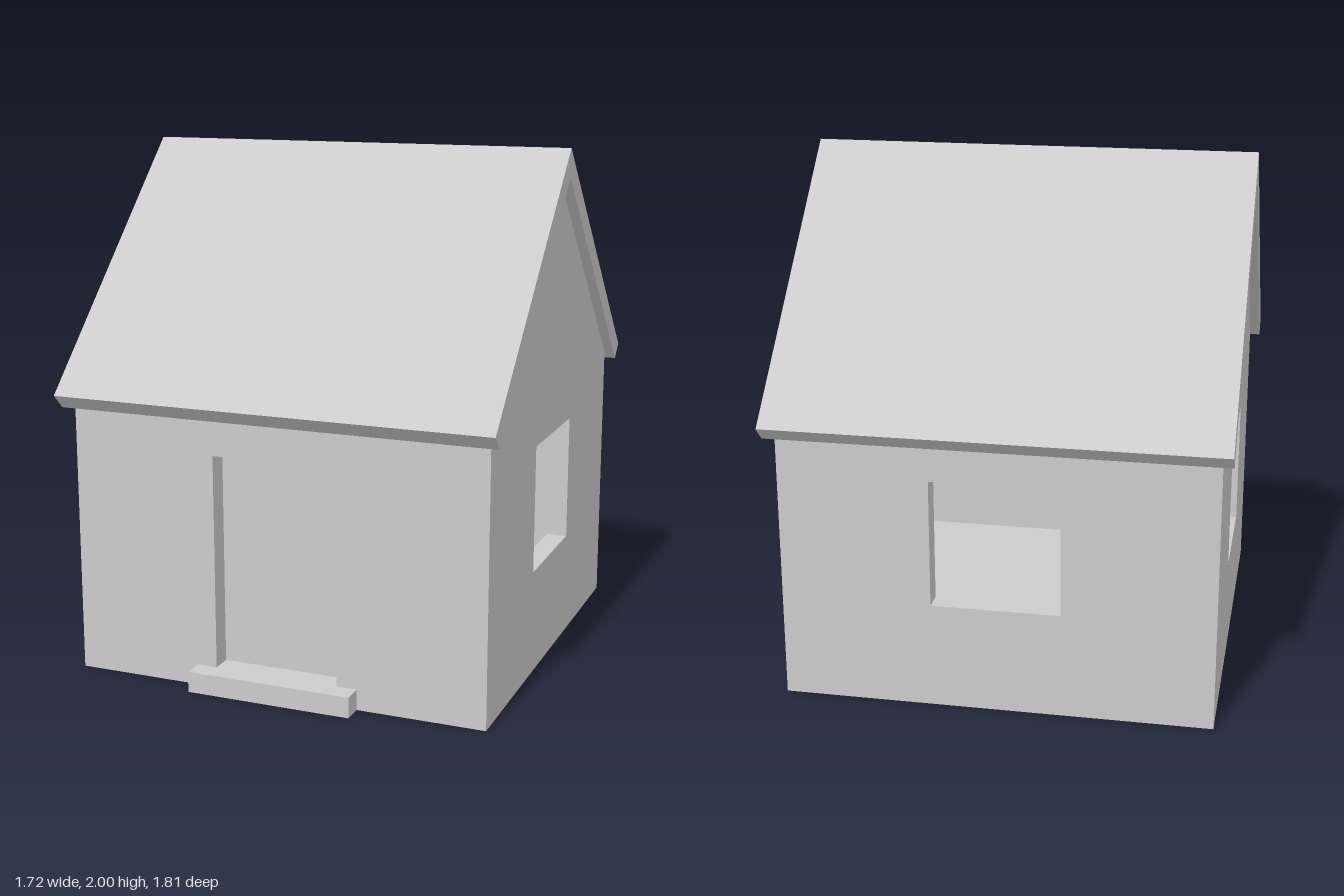
import * as THREE from 'three';

const OUT = 0.82, IN = 0.74;      // outer and inner wall faces
const FLOOR = 0.08, HEAD = 0.905; // floor height, top of the openings
const HALF = 0.245;               // half width of the openings
const RIDGE = 1.89;               // ridge of the roof underside, 45 degree slope

const material = new THREE.MeshStandardMaterial({
  color: 0xcccccc, flatShading: true, side: THREE.DoubleSide,
});

function add(parent, name, geometry) {
  const mesh = new THREE.Mesh(geometry, material);
  mesh.name = name;
  parent.add(mesh);
  return mesh;
}

function polygon(points) {
  return new THREE.Shape(points.map(([x, y]) => new THREE.Vector2(x, y)));
}

// One upright wall skin, with or without a gable, and with an optional opening
function skin(half, base, gable, sill) {
  const eave = RIDGE - half;
  const points = [[-half, base], [half, base], [half, eave]];
  if (gable) points.push([0, RIDGE]);
  points.push([-half, eave]);
  const shape = polygon(points);
  if (sill !== null) {
    shape.holes.push(polygon([[-HALF, sill], [-HALF, HEAD], [HALF, HEAD], [HALF, sill]]));
  }
  return new THREE.ShapeGeometry(shape);
}

// Horizontal sheet centred on x, at height y
function flat(width, depth, y, z) {
  return new THREE.PlaneGeometry(width, depth).rotateX(-Math.PI / 2).translate(0, y, z);
}

// Hollow wall facing +z, later turned to its side of the house
function makeWall(name, angle, gable, isDoor) {
  const wall = new THREE.Group();
  wall.name = name;
  const sill = isDoor ? FLOOR : 0.41;
  const depth = OUT - IN, mid = (OUT + IN) / 2;

  add(wall, 'outerSkin', skin(OUT, 0, gable, sill).translate(0, 0, OUT));
  const inner = skin(IN, FLOOR, gable, isDoor ? null : sill);
  add(wall, isDoor ? 'innerSkinAndDoor' : 'innerSkin', inner.translate(0, 0, IN));

  // Reveals lining the opening
  add(wall, 'sill', flat(HALF * 2, depth, sill, mid));
  add(wall, 'head', flat(HALF * 2, depth, HEAD, mid).rotateZ(0));
  for (const side of [-1, 1]) {
    const jamb = new THREE.PlaneGeometry(depth, HEAD - sill).rotateY(-side * Math.PI / 2);
    add(wall, 'jamb', jamb.translate(side * HALF, (HEAD + sill) / 2, mid));
  }
  // Floor tab inside the wall below a window
  if (!isDoor) add(wall, 'floorTab', flat(HALF * 2, depth, FLOOR, mid));

  wall.rotation.y = angle;
  return wall;
}

export function createModel() {
  const house = new THREE.Group();
  house.name = 'house';

  house.add(
    makeWall('frontWall', 0, false, true),
    makeWall('leftWall', Math.PI / 2, true, false),
    makeWall('backWall', Math.PI, false, false),
    makeWall('rightWall', -Math.PI / 2, true, false),
  );
  add(house, 'floor', flat(IN * 2, IN * 2, FLOOR, 0));

  // Folded roof slab, extruded along the ridge
  const profile = polygon([
    [0, 2], [-0.903, 1.097], [-0.848, 1.042], [0, RIDGE], [0.848, 1.042], [0.903, 1.097],
  ]);
  const roof = new THREE.ExtrudeGeometry(profile, { depth: 1.72, bevelEnabled: false });
  add(house, 'roof', roof.translate(0, 0, -0.86).rotateY(Math.PI / 2));

  // Doorstep, open underneath
  const step = new THREE.Group();
  step.name = 'doorstep';
  add(step, 'tread', flat(0.65, 0.08, FLOOR, 0.86));
  add(step, 'riser', new THREE.PlaneGeometry(0.65, FLOOR).translate(0, FLOOR / 2, 0.9));
  for (const side of [-1, 1]) {
    const end = new THREE.PlaneGeometry(0.08, FLOOR).rotateY(side * Math.PI / 2);
    add(step, 'stepEnd', end.translate(side * 0.325, FLOOR / 2, 0.86));
  }
  house.add(step);

  return house;
}
